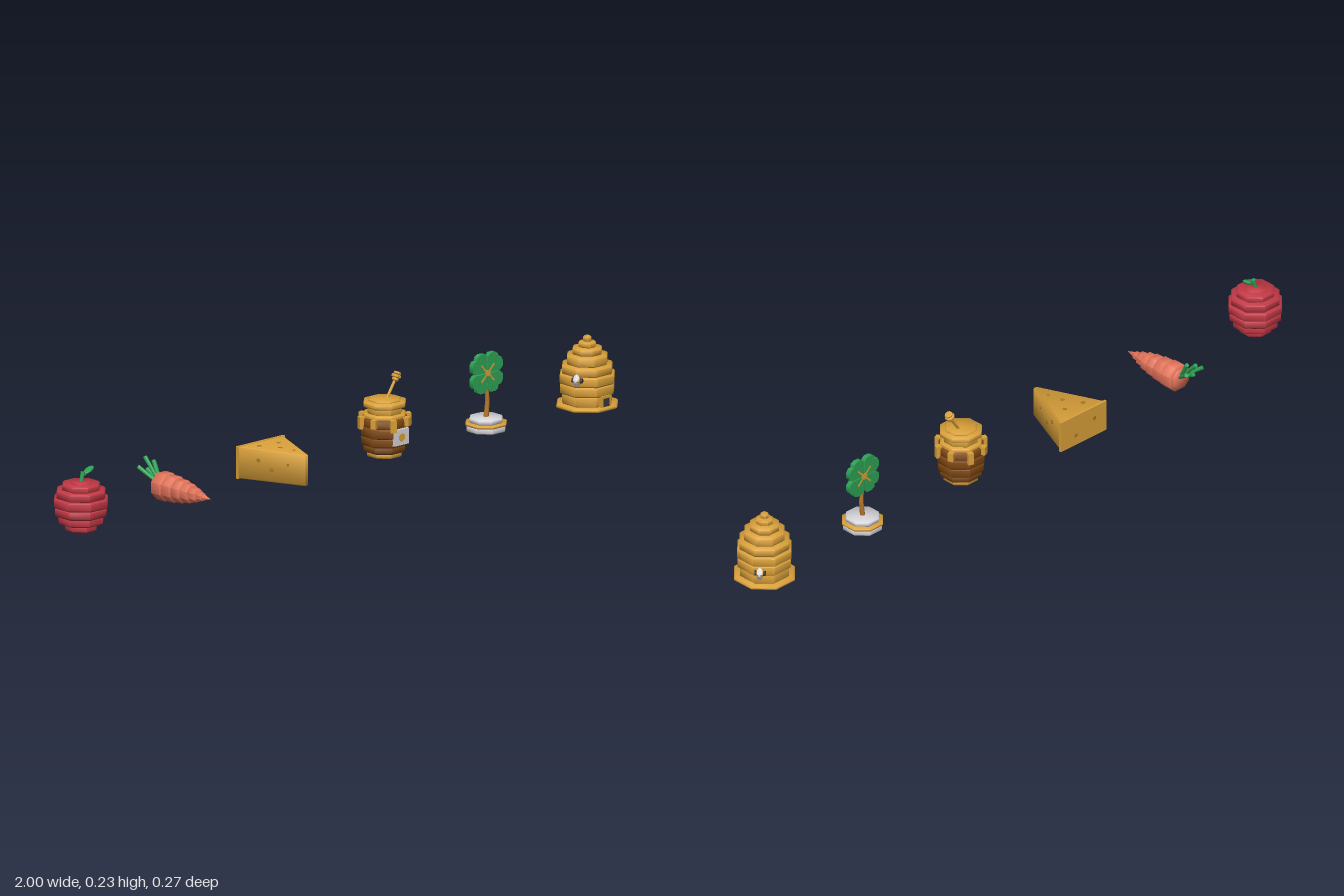
import * as THREE from 'three';
import { toCreasedNormals } from 'three/addons/utils/BufferGeometryUtils.js';

const paint = (name, color) => { const m = new THREE.MeshStandardMaterial({ color }); m.name = name; return m; };

export function createModel() {
  const root = new THREE.Group();
  const red = paint('apple red', 0xc03845), green = paint('leaf green', 0x2ea256);
  const coral = paint('carrot orange', 0xe4745a), gold = paint('honey gold', 0xd9a03a);
  const ochre = paint('cheese hole ochre', 0xa87828), brown = paint('jar brown', 0x7e4712);
  const stemBrown = paint('stem brown', 0xb5762c);
  const white = paint('pale grey', 0xd4d3d8), dark = paint('charcoal', 0x38363c);

  // Mesh with soft facets and sharp right-angle edges
  const add = (parent, name, geo, mat, x = 0, y = 0, z = 0) => {
    const m = new THREE.Mesh(toCreasedNormals(geo, 0.9), mat);
    m.name = name;
    m.position.set(x, y, z);
    parent.add(m);
    return m;
  };
  const item = (name, x, y, z, parent = root) => {
    const g = new THREE.Group();
    g.name = name;
    g.position.set(x, y, z);
    parent.add(g);
    return g;
  };
  // Bevelled octagonal slab, radii measured to the flats
  const tier = (parent, name, mat, y0, y1, r0, r1 = r0, b = 0.003) => {
    const k = 1 / Math.cos(Math.PI / 8);
    const pts = [[0, y0], [r0 - b, y0], [r0, y0 + b], [r1, y1 - b], [r1 - b, y1], [0, y1]]
      .map(([r, y]) => new THREE.Vector2(r * k, y));
    return add(parent, name, new THREE.LatheGeometry(pts, 8, Math.PI / 8), mat);
  };
  // Tapered rod between two points
  const rod = (parent, name, mat, a, b, r0, r1 = r0) => {
    const p = new THREE.Vector3(...a), d = new THREE.Vector3(...b).sub(p);
    const g = new THREE.CylinderGeometry(r1, r0, d.length(), 8).translate(0, d.length() / 2, 0);
    const m = add(parent, name, g, mat, ...a);
    m.quaternion.setFromUnitVectors(new THREE.Vector3(0, 1, 0), d.normalize());
    return m;
  };

  // Apple built from stepped bands
  const apple = item('apple', -0.928, 0, 0.017);
  [[0, 0.022, 0.042], [0.02, 0.044, 0.06], [0.042, 0.068, 0.069], [0.066, 0.092, 0.072],
    [0.09, 0.114, 0.065], [0.112, 0.131, 0.05]]
    .forEach(([a, b, r]) => tier(apple, 'appleBand', red, a, b, r, r, 0.004));
  tier(apple, 'appleDimple', red, 0.129, 0.135, 0.028);
  rod(apple, 'appleStem', green, [0, 0.13, 0], [0.007, 0.16, 0], 0.005, 0.006);
  rod(apple, 'leafStalk', green, [0.006, 0.146, 0], [0.02, 0.155, 0], 0.003);
  const leaf = add(apple, 'appleLeaf', new THREE.SphereGeometry(0.018, 8, 6).scale(1, 0.35, 0.65), green, 0.028, 0.161, 0);
  leaf.rotation.z = 0.45;

  // Carrot, lying along z
  const carrot = item('carrot', -0.56, 0.038, 0);
  const carrotRoot = item('carrotRoot', 0, 0, 0, carrot);
  carrotRoot.rotation.x = Math.PI / 2;
  [[-0.077, -0.066, 0.03, 0.03], [-0.068, -0.03, 0.037, 0.037], [-0.032, 0.004, 0.034, 0.034],
    [0.002, 0.034, 0.03, 0.03], [0.032, 0.06, 0.026, 0.025], [0.058, 0.084, 0.019, 0.018], [0.082, 0.104, 0.012, 0.011]]
    .forEach(([a, b, r, s]) => tier(carrotRoot, 'carrotBand', coral, a, b, r, s));
  add(carrotRoot, 'carrotTip', new THREE.ConeGeometry(0.009, 0.03, 8), coral, 0, 0.117, 0);
  for (const [x, y, z] of [[0, 0.066, -0.13], [-0.03, 0.045, -0.125], [0.03, 0.045, -0.125], [0.008, 0.06, -0.105], [0, 0.034, -0.122]])
    rod(carrot, 'carrotLeaf', green, [x * 0.15, 0.004, -0.07], [x, y, z], 0.004, 0.006);

  // Cheese wedge with rounded edges, rind and shallow holes
  const cheese = item('cheese', -0.19, 0, 0);
  const wedge = new THREE.Shape([[-0.079, 0.07], [-0.003, -0.107], [0.003, -0.107], [0.079, 0.07]].map(p => new THREE.Vector2(...p)));
  add(cheese, 'wedge', new THREE.ExtrudeGeometry(wedge,
    { depth: 0.082, bevelEnabled: true, bevelThickness: 0.003, bevelSize: 0.003, bevelSegments: 1 })
    .rotateX(-Math.PI / 2), gold, 0, 0.004, 0);
  add(cheese, 'rind', new THREE.BoxGeometry(0.172, 0.09, 0.007), gold, 0, 0.045, -0.0745);
  const hole = (r) => new THREE.CylinderGeometry(r, r, 0.002, 8);
  for (const [x, z, r] of [[-0.035, -0.04, 0.007], [0.025, -0.03, 0.006], [-0.005, 0.01, 0.006], [0.004, 0.055, 0.004]])
    add(cheese, 'topHole', hole(r), ochre, x, 0.089, z);
  for (const s of [-1, 1])
    for (const [t, y, r] of [[0.3, 0.058, 0.006], [0.5, 0.035, 0.006], [0.75, 0.055, 0.004]]) {
      const h = add(cheese, 'sideHole', hole(r).rotateZ(Math.PI / 2), ochre, s * (0.082 - 0.076 * t), y, -0.071 + 0.178 * t);
      h.rotation.y = -s * Math.atan2(0.076, 0.177);
    }
  for (const [x, y] of [[-0.04, 0.055], [0.03, 0.03]])
    add(cheese, 'rindHole', hole(0.006).rotateX(Math.PI / 2), ochre, x, y, -0.078);

  // Honey jar
  const jar = item('honeyJar', 0.18, 0, 0.016);
  tier(jar, 'jarFoot', gold, 0, 0.016, 0.046);
  [[0.014, 0.036, 0.055, 0.056], [0.034, 0.06, 0.061, 0.062], [0.058, 0.086, 0.063, 0.063],
    [0.084, 0.11, 0.061, 0.06]]
    .forEach(([a, b, r, s]) => tier(jar, 'jarBand', brown, a, b, r, s));
  tier(jar, 'honeyShoulder', gold, 0.108, 0.12, 0.056);
  tier(jar, 'jarNeck', gold, 0.118, 0.14, 0.045);
  tier(jar, 'jarLid', gold, 0.138, 0.154, 0.056);
  tier(jar, 'lidTop', gold, 0.152, 0.159, 0.042);
  for (let i = 0; i < 8; i++) {
    const a = i * Math.PI / 4 + Math.PI / 8, len = i % 2 ? 0.034 : 0.024;
    const drip = add(jar, 'honeyDrip', new THREE.BoxGeometry(0.016, len, 0.016), gold,
      Math.sin(a) * 0.066, 0.113 - len / 2, Math.cos(a) * 0.066);
    drip.rotation.y = a;
  }
  add(jar, 'jarLabel', new THREE.BoxGeometry(0.052, 0.044, 0.008), white, 0, 0.063, 0.064);
  const badge = add(jar, 'labelBadge', new THREE.CylinderGeometry(0.012, 0.012, 0.003, 6), gold, 0, 0.063, 0.069);
  badge.rotation.x = Math.PI / 2;
  rod(jar, 'dipperStick', gold, [0.006, 0.152, 0], [0.046, 0.208, -0.004], 0.004);
  const dipper = item('dipperHead', 0.046, 0.21, -0.004, jar);
  dipper.rotation.z = -0.45;
  [[-0.013, -0.004, 0.009], [-0.004, 0.005, 0.013], [0.005, 0.013, 0.01]]
    .forEach(([a, b, r]) => tier(dipper, 'dipperRing', gold, a, b, r, r, 0.002));

  // Four-leaf clover on a stand
  const clover = item('cloverStand', 0.55, 0, 0.016);
  tier(clover, 'standBase', white, 0, 0.017, 0.052);
  tier(clover, 'standTrim', gold, 0.016, 0.024, 0.055, 0.055, 0.002);
  tier(clover, 'standTop', white, 0.023, 0.038, 0.044);
  rod(clover, 'cloverStemLower', stemBrown, [0, 0.036, 0], [0.005, 0.08, 0], 0.007, 0.006);
  rod(clover, 'cloverStemUpper', stemBrown, [0.005, 0.078, 0], [0, 0.15, 0], 0.006, 0.005);
  const heart = new THREE.Shape([[0, 0.002], [0.031, 0.033], [0.031, 0.046], [0.019, 0.058], [0.008, 0.061], [0, 0.055],
    [-0.008, 0.061], [-0.019, 0.058], [-0.031, 0.046], [-0.031, 0.033]].map(p => new THREE.Vector2(...p)));
  for (let i = 0; i < 4; i++) {
    const petal = item('cloverLeaf', 0, 0.16, 0, clover);
    petal.rotation.z = Math.PI / 4 + i * Math.PI / 2;
    add(petal, 'leafBlade', new THREE.ExtrudeGeometry(heart, { depth: 0.014, bevelEnabled: false }).translate(0, 0, -0.007), green);
    add(petal, 'leafVein', new THREE.BoxGeometry(0.005, 0.03, 0.016), gold, 0, 0.018, 0);
  }
  add(clover, 'cloverCentre', new THREE.CylinderGeometry(0.009, 0.009, 0.018, 8).rotateX(Math.PI / 2), gold, 0, 0.16, 0);

  // Beehive
  const hive = item('beehive', 0.917, 0, 0.018);
  [[0, 0.011, 0.082], [0.01, 0.041, 0.066], [0.039, 0.068, 0.072], [0.067, 0.095, 0.073],
    [0.093, 0.119, 0.067], [0.118, 0.146, 0.054], [0.144, 0.165, 0.039],
    [0.163, 0.18, 0.023], [0.178, 0.195, 0.011]]
    .forEach(([a, b, r]) => tier(hive, 'hiveBand', gold, a, b, r, r, 0.004));
  add(hive, 'doorFrame', new THREE.BoxGeometry(0.034, 0.032, 0.012), gold, 0, 0.026, 0.07);
  add(hive, 'doorway', new THREE.BoxGeometry(0.02, 0.022, 0.003), dark, 0, 0.024, 0.076);

  // Bees clinging to the hive
  for (const [x, y, z] of [[-0.071, 0.09, 0.038], [0.072, 0.06, -0.057]]) {
    const bee = item('bee', x, y, z, hive);
    bee.rotation.y = Math.atan2(x, z);
    [-0.012, -0.006, 0, 0.006, 0.012].forEach((p, i) => {
      const r = [0.007, 0.01, 0.011, 0.01, 0.007][i];
      add(bee, 'beeStripe', new THREE.CylinderGeometry(r, r, 0.006, 8).rotateZ(Math.PI / 2), i % 2 ? gold : dark, p, 0, 0);
    });
    for (const s of [-1, 1]) {
      const wing = add(bee, 'beeWing', new THREE.SphereGeometry(0.011, 8, 6).scale(0.7, 1, 0.25), white, 0, s * 0.009, 0.01);
      wing.rotation.x = s * -0.6;
    }
  }
  return root;
}
